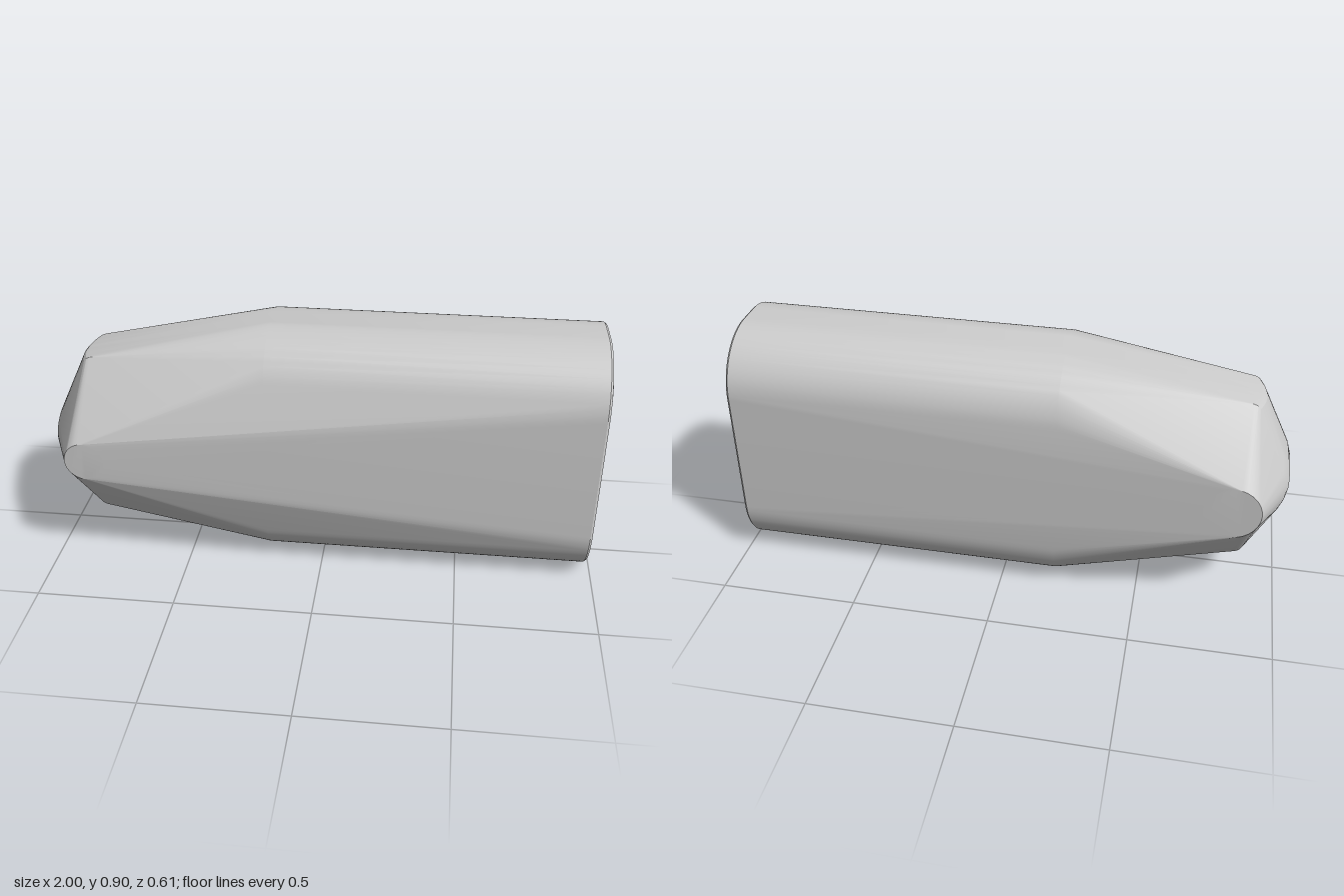
import * as THREE from 'three';
import { ConvexGeometry } from 'three/addons/geometries/ConvexGeometry.js';
import { toCreasedNormals } from 'three/addons/utils/BufferGeometryUtils.js';

const MID = 0.45; // height of the long axis

// Rounded-rectangle section across x
function section(x, cz, halfZ, halfY, r, steps = 20) {
  const pts = [];
  for (const [sz, sy] of [[1, 1], [-1, 1], [-1, -1], [1, -1]]) {
    for (let i = 0; i <= steps; i++) {
      const a = (i / steps) * Math.PI / 2;
      pts.push(new THREE.Vector3(
        x,
        MID + sy * (halfY - r + r * Math.sin(a)),
        cz + sz * (halfZ - r + r * Math.cos(a))));
    }
  }
  return pts;
}

// Elliptical ring across x
function ring(x, ry, rz, n = 40) {
  return Array.from({ length: n }, (_, i) => {
    const a = (i / n) * Math.PI * 2;
    return new THREE.Vector3(x, MID + ry * Math.sin(a), rz * Math.cos(a));
  });
}

// Round pad facing sideways
function sidePad(x, z, r, n = 28) {
  return Array.from({ length: n }, (_, i) => {
    const a = (i / n) * Math.PI * 2;
    return new THREE.Vector3(x + r * Math.cos(a), MID + r * Math.sin(a), z);
  });
}

export function createModel() {
  const group = new THREE.Group();
  group.name = 'taperedBody';

  const points = [
    // straight body and its bevelled flat end
    ...section(-0.2, -0.03, 0.26, 0.45, 0.215),
    ...section(0.972, -0.03, 0.26, 0.45, 0.215),
    ...section(0.98, -0.03, 0.254, 0.444, 0.21),
    ...section(1, -0.03, 0.135, 0.35, 0.13),
    // blunt nose
    ...ring(-1, 0.05, 0.1),
    ...ring(-0.988, 0.09, 0.142),
    ...ring(-0.97, 0.125, 0.175),
    // side tips of the nose, the rear one broader
    ...sidePad(-0.84, 0.303, 0.072),
    ...sidePad(-0.81, -0.303, 0.1),
  ];

  // softened ridges above and below the nose
  for (const s of [1, -1]) {
    for (let i = 0; i <= 10; i++) {
      const t = -1 + i / 5;
      const bulge = 0.022 * (1 - t * t);
      for (const [x, h] of [[-0.845, 0.316], [-0.858, 0.311], [-0.868, 0.3]]) {
        points.push(new THREE.Vector3(x - bulge, MID + s * (h - bulge * 0.15), t * 0.1));
      }
    }
  }

  const body = new THREE.Mesh(
    toCreasedNormals(new ConvexGeometry(points), 0.25),
    new THREE.MeshStandardMaterial({ color: 0xcccccc }));
  body.name = 'body';
  group.add(body);
  return group;
}
